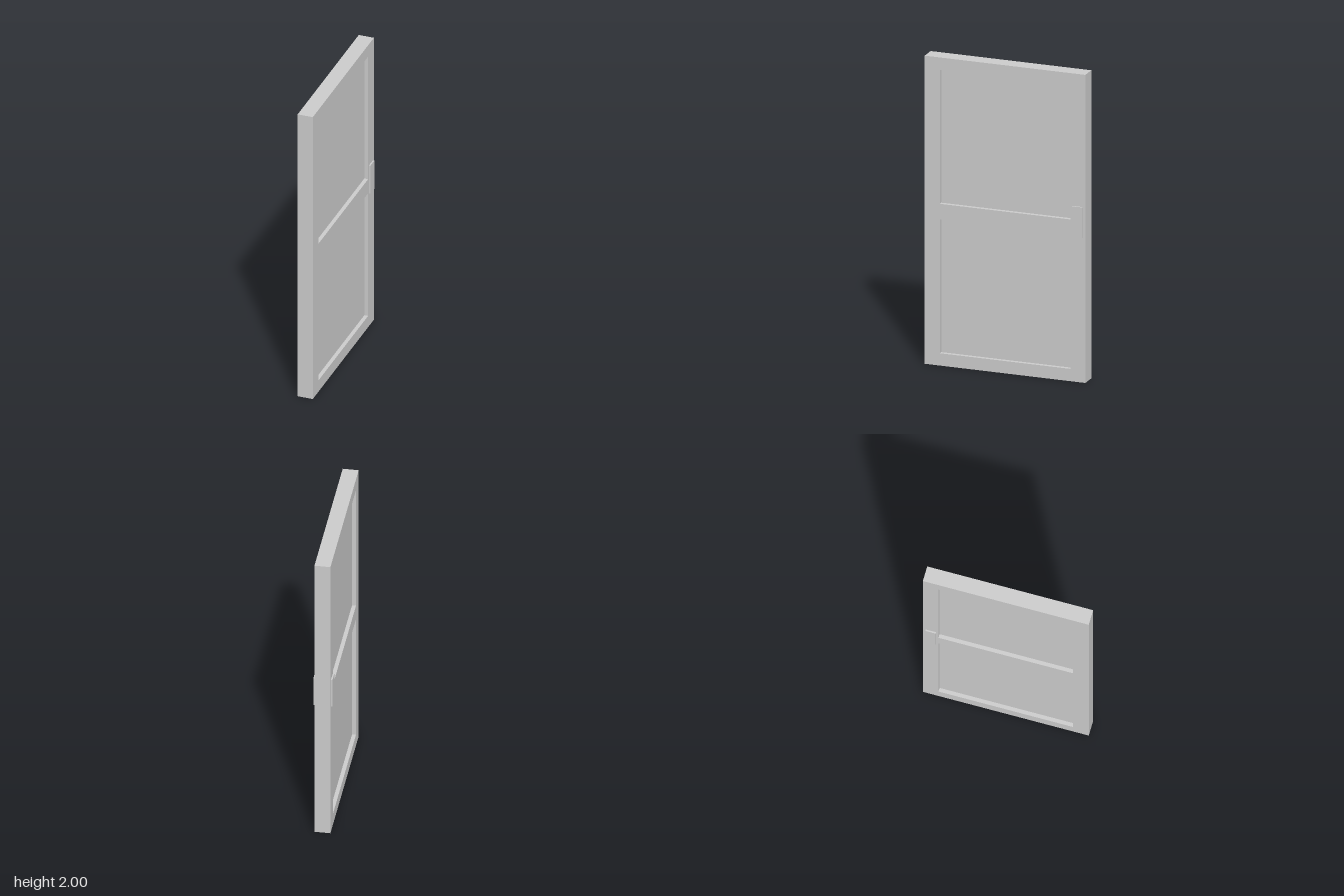
import * as THREE from 'three';

const material = new THREE.MeshStandardMaterial({ color: 0xcccccc });

function add(group, name, geometry, x = 0, y = 0, z = 0) {
  const mesh = new THREE.Mesh(geometry, material);
  mesh.name = name;
  mesh.position.set(x, y, z);
  group.add(mesh);
}

// Closed rectangle outline, usable as a shape or a hole
function rectangle(path, halfWidth, bottom, top) {
  path.moveTo(-halfWidth, bottom);
  path.lineTo(halfWidth, bottom);
  path.lineTo(halfWidth, top);
  path.lineTo(-halfWidth, top);
  path.closePath();
  return path;
}

export function createModel() {
  const door = new THREE.Group();
  door.name = 'door';

  const halfWidth = 0.532, thickness = 0.1;
  const openHalf = 0.432;
  const openings = [['lowerPanel', 0.08, 0.95], ['upperPanel', 1.05, 1.92]];

  // Frame: stiles and rails as one slab with two openings
  const outline = rectangle(new THREE.Shape(), halfWidth, 0, 2);
  for (const [, bottom, top] of openings) {
    outline.holes.push(rectangle(new THREE.Path(), openHalf, bottom, top));
  }
  const frame = new THREE.ExtrudeGeometry(outline, { depth: thickness, bevelEnabled: false });
  frame.translate(0, 0, -thickness / 2).rotateY(-Math.PI / 2);
  add(door, 'frame', frame);

  // Panels recessed on both faces
  for (const [name, bottom, top] of openings) {
    add(door, name, new THREE.BoxGeometry(0.05, top - bottom, openHalf * 2), 0, (bottom + top) / 2);
  }

  // Handle plates on both faces
  for (const [name, side] of [['leftHandlePlate', 1], ['rightHandlePlate', -1]]) {
    add(door, name, new THREE.BoxGeometry(0.01, 0.2, 0.066), side * 0.055, 1.04, -0.48);
  }

  return door;
}
